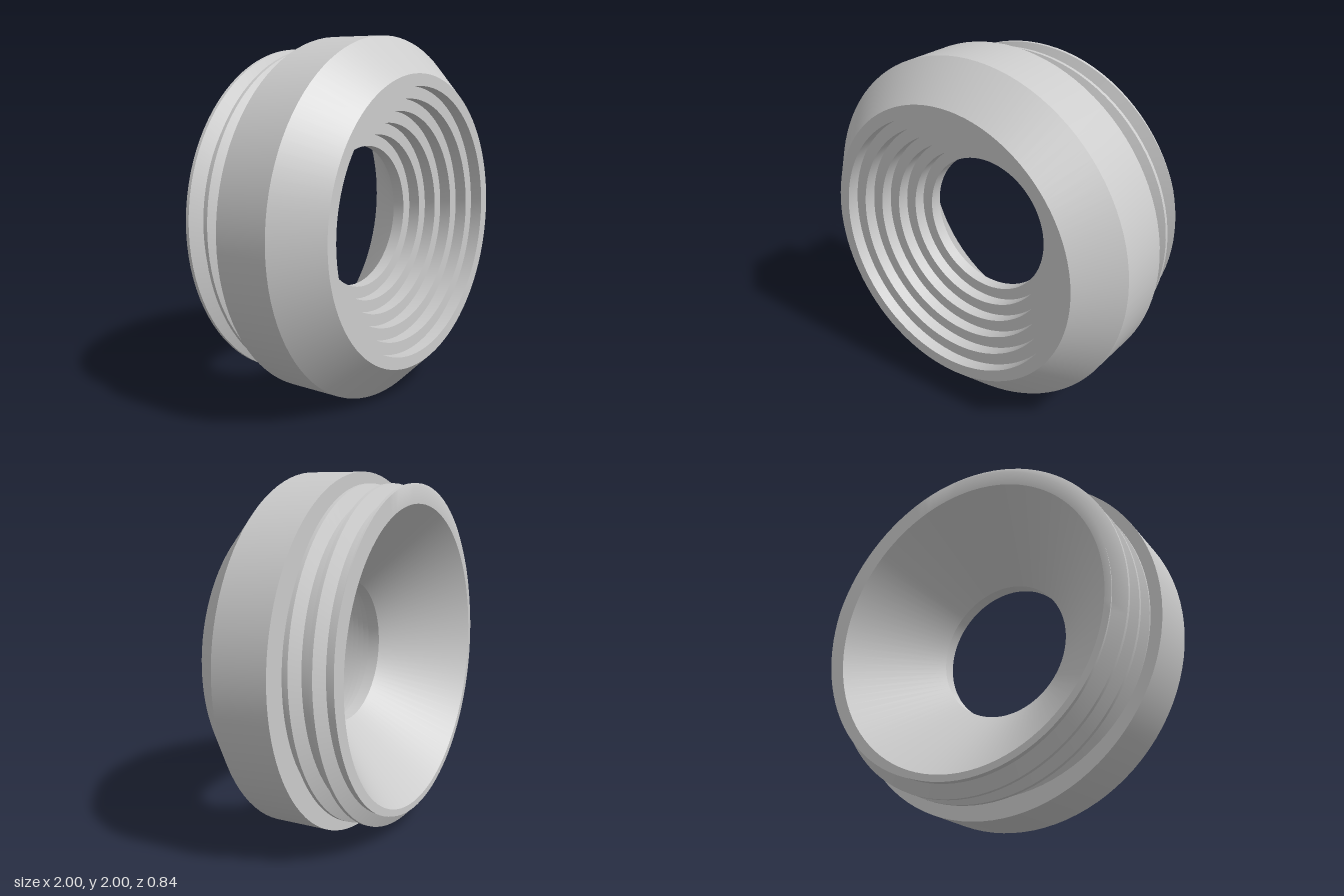
import * as THREE from 'three';
import { toCreasedNormals } from 'three/addons/utils/BufferGeometryUtils.js';

const SEGMENTS = 96;
const BACK = -0.42, SHOULDER = -0.105, FRONT = 0.42;
const RIM = 0.83;                                   // back opening radius
const ROOT = 0.867, CREST = 0.937, PITCH = 0.132;   // thread sizes
const HALF_CREST = 0.01, HALF_ROOT = 0.023;

// Collar with chamfer, stepped front funnel and conical back opening
function bodyGeometry() {
  const profile = [[0.86, SHOULDER], [1, SHOULDER], [1, 0.21], [0.8, FRONT]];
  for (let i = 1; i <= 6; i++) {
    const r = 0.8 - i * 0.4 / 6;
    profile.push([r, FRONT - (i - 1) * 0.07], [r, FRONT - i * 0.07]);
  }
  profile.push([RIM, BACK]);
  const points = profile.map(([r, z]) => new THREE.Vector2(r, z));
  const geometry = new THREE.LatheGeometry(points, SEGMENTS);
  geometry.rotateX(Math.PI / 2);
  return toCreasedNormals(geometry, 0.5);
}

// z of the helical crest line at an angle
const crestZ = (angle) => -0.305 + PITCH * angle / (2 * Math.PI);

// Thread radius at an angle and depth
function threadRadius(angle, z) {
  const turns = (z - crestZ(angle)) / PITCH;
  const distance = Math.abs(turns - Math.round(turns)) * PITCH;
  const t = (distance - HALF_CREST) / (PITCH / 2 - HALF_ROOT - HALF_CREST);
  return THREE.MathUtils.lerp(CREST, ROOT, THREE.MathUtils.clamp(t, 0, 1));
}

// Helical thread trimmed flat at both ends, with the flat back rim
function threadGeometry() {
  const offsets = [-HALF_CREST, HALF_CREST, PITCH / 2 - HALF_ROOT, PITCH / 2 + HALF_ROOT];
  const column = (angle) => {
    const at = (r, z) => new THREE.Vector3(r * Math.cos(angle), r * Math.sin(angle), z);
    const rows = [at(RIM, BACK)];
    for (let k = -3; k <= 3; k++) {
      for (const offset of offsets) {
        const z = THREE.MathUtils.clamp(crestZ(angle) + k * PITCH + offset, BACK, SHOULDER);
        rows.push(at(threadRadius(angle, z), z));
      }
    }
    return rows;
  };
  const positions = [];
  const triangle = (a, b, c) => {
    const area = b.clone().sub(a).cross(c.clone().sub(a)).length();
    if (area > 1e-8) for (const p of [a, b, c]) positions.push(p.x, p.y, p.z);
  };
  for (let i = 0; i < SEGMENTS; i++) {
    const p = column(i / SEGMENTS * 2 * Math.PI);
    const q = column((i + 1) / SEGMENTS * 2 * Math.PI);
    for (let j = 0; j < p.length - 1; j++) {
      triangle(p[j], q[j], q[j + 1]);
      triangle(p[j], q[j + 1], p[j + 1]);
    }
  }
  const geometry = new THREE.BufferGeometry();
  geometry.setAttribute('position', new THREE.Float32BufferAttribute(positions, 3));
  return toCreasedNormals(geometry, 0.5);
}

export function createModel() {
  const group = new THREE.Group();
  group.name = 'threadedRing';
  const material = new THREE.MeshStandardMaterial({ color: 0xcccccc });
  const parts = { steppedCollar: bodyGeometry(), screwThread: threadGeometry() };
  for (const [name, geometry] of Object.entries(parts)) {
    const mesh = new THREE.Mesh(geometry, material);
    mesh.name = name;
    mesh.position.y = 1;
    group.add(mesh);
  }
  return group;
}
